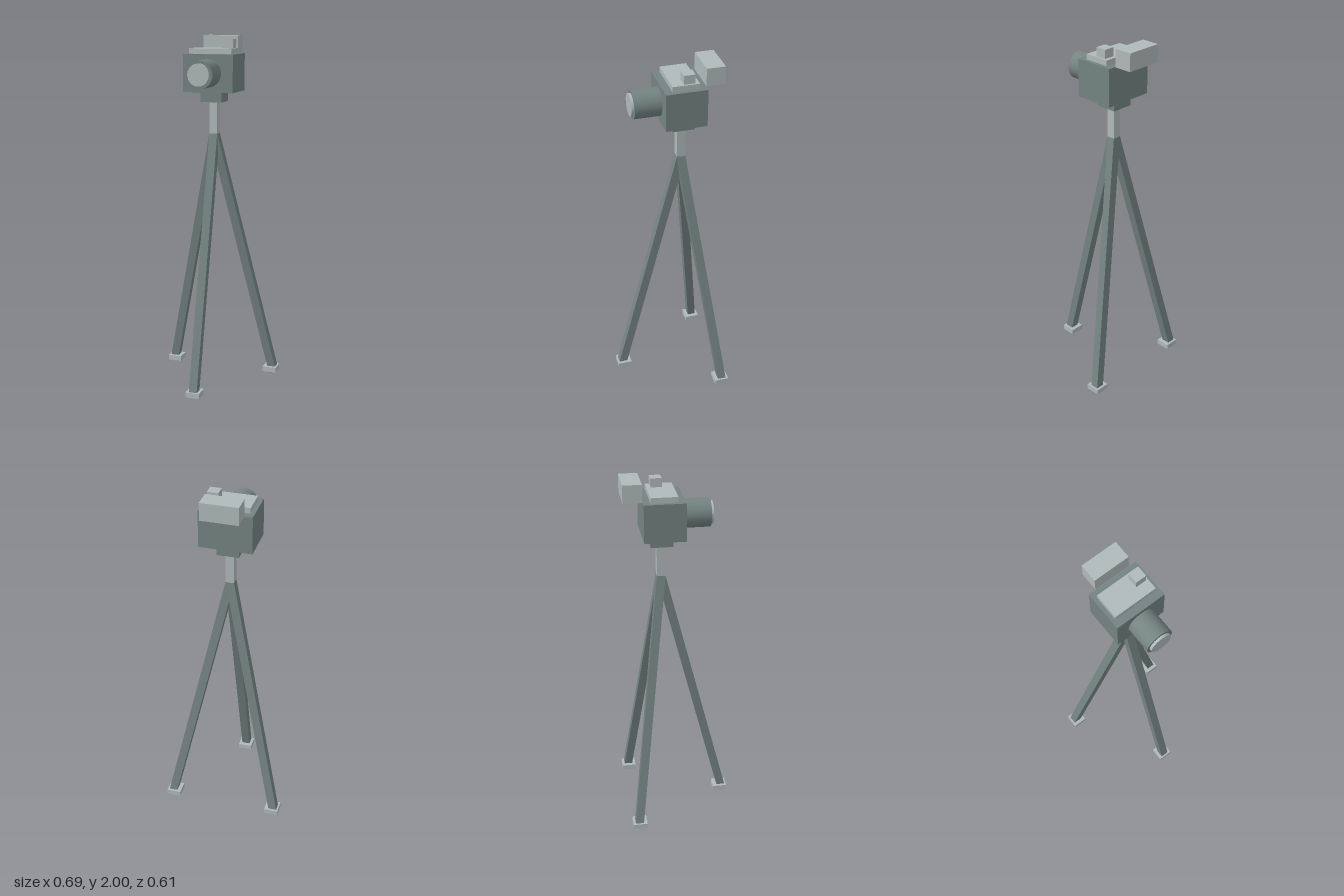
import * as THREE from 'three';

export function createModel() {
  const model = new THREE.Group();
  const dark = new THREE.MeshStandardMaterial({ color: 0x748481 });
  dark.name = 'dark grey green';
  const light = new THREE.MeshStandardMaterial({ color: 0xb0baba });
  light.name = 'light grey';

  const add = (name, geometry, material, x, y, z) => {
    const mesh = new THREE.Mesh(geometry, material);
    mesh.name = name;
    mesh.position.set(x, y, z);
    model.add(mesh);
    return mesh;
  };

  // Box given by its lower and upper limits on each axis
  const box = (name, material, [x0, x1], [y0, y1], [z0, z1]) =>
    add(name, new THREE.BoxGeometry(x1 - x0, y1 - y0, z1 - z0), material,
      (x0 + x1) / 2, (y0 + y1) / 2, (z0 + z1) / 2);

  // Cylinder lying along z
  const barrel = (name, material, radius, z0, z1) =>
    add(name, new THREE.CylinderGeometry(radius, radius, z1 - z0, 32).rotateX(Math.PI / 2),
      material, 0, 1.8, (z0 + z1) / 2);

  // Camera
  box('cameraBody', dark, [-0.144, 0.144], [1.695, 1.903], [-0.191, 0.033]);
  box('topPlate', light, [-0.122, 0.122], [1.903, 1.933], [-0.152, 0.008 - 0.016]);
  box('shutterButton', light, [0.051, 0.112], [1.933, 1.982], [-0.131, -0.07]);
  box('viewfinder', light, [-0.102, 0.102], [1.903, 2], [-0.295, -0.193]);
  barrel('lensBarrel', dark, 0.077, 0.03, 0.178);
  barrel('lensGlass', light, 0.061, 0.17, 0.192);

  // Tripod head and post
  const axisZ = -0.087;
  box('mount', dark, [-0.061, 0.061], [1.637, 1.695], [axisZ - 0.061, axisZ + 0.061]);
  box('post', light, [-0.0235, 0.0235], [1.455, 1.637], [axisZ - 0.0235, axisZ + 0.0235]);

  // Three splayed legs, each with a square foot
  const up = new THREE.Vector3(0, 1, 0);
  const top = new THREE.Vector3(0, 1.455, axisZ);
  for (let i = 0; i < 3; i++) {
    const angle = (i * Math.PI * 2) / 3;
    const dx = Math.sin(angle), dz = Math.cos(angle);
    const end = new THREE.Vector3(dx * 0.366, 0.006, axisZ + dz * 0.366);
    const axis = top.clone().sub(end);
    const mid = top.clone().add(end).multiplyScalar(0.5);
    const leg = add('leg', new THREE.BoxGeometry(0.047, axis.length(), 0.047), dark, mid.x, mid.y, mid.z);
    leg.quaternion.setFromUnitVectors(up, axis.normalize());
    add('foot', new THREE.BoxGeometry(0.081, 0.03, 0.081), light, dx * 0.35, 0.027, axisZ + dz * 0.35);
  }
  return model;
}
